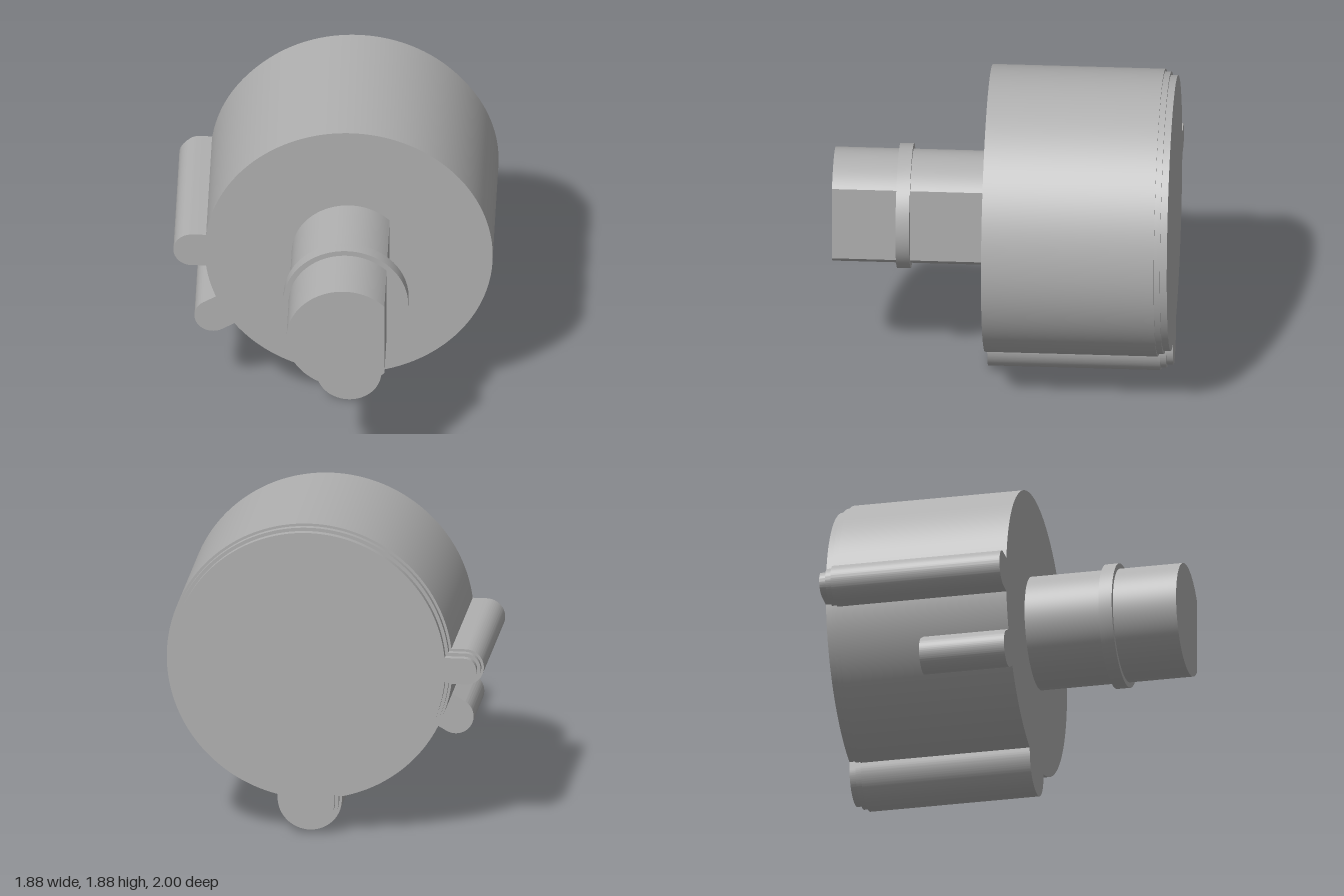
import * as THREE from 'three';
import { toCreasedNormals } from 'three/addons/utils/BufferGeometryUtils.js';

const CX = 0.09, CY = 1.035; // shared axis of housing and shaft
const R = 0.845;             // housing radius

// Lobes around the housing: angle, centre distance from the axis, radius
const SIDE = { a: Math.PI, d: 0.922, r: 0.108 };
const DIAGONAL = { a: Math.PI * 7 / 6, d: 0.922, r: 0.108 };
const BOTTOM = { a: Math.PI * 1.5, d: 0.845, r: 0.19 };

// Round outline with lobes (in angle order), shrunk evenly by inset
function housingShape(lobes, inset) {
  const s = new THREE.Shape();
  const rad = R - inset;
  let from = 0;
  for (const { a, d, r } of lobes) {
    const half = Math.asin((r - inset) / rad);
    s.absarc(0, 0, rad, from, a - half, false);
    s.absarc(d * Math.cos(a), d * Math.sin(a), r - inset, a - Math.PI / 2, a + Math.PI / 2, false);
    from = a + half;
  }
  s.absarc(0, 0, rad, from, Math.PI * 2, false);
  return s;
}

// Short rounded rib reaching from inside the housing wall
function ribShape({ a, d, r }) {
  const s = new THREE.Shape();
  const c = Math.cos(a), n = Math.sin(a), start = R - 0.06;
  s.moveTo(start * c - r * n, start * n + r * c);
  s.lineTo(start * c + r * n, start * n - r * c);
  s.absarc(d * c, d * n, r, a - Math.PI / 2, a + Math.PI / 2, false);
  s.closePath();
  return s;
}

// Circle cut by a vertical flat on the +x side
function shaftShape(r, flat) {
  const half = Math.acos(flat / r);
  const s = new THREE.Shape();
  s.absarc(0, 0, r, half, Math.PI * 2 - half, false);
  s.closePath();
  return s;
}

export function createModel() {
  const model = new THREE.Group();
  model.name = 'shaftedHousing';
  const grey = new THREE.MeshStandardMaterial({ color: 0xb0b0b0 });
  grey.name = 'grey';

  const add = (name, shape, z0, z1) => {
    const geo = new THREE.ExtrudeGeometry(shape, { depth: z1 - z0, bevelEnabled: false, curveSegments: 48 });
    const mesh = new THREE.Mesh(toCreasedNormals(geo, 0.4), grey);
    mesh.name = name;
    mesh.position.set(CX, CY, z0);
    model.add(mesh);
  };

  // Housing with two stepped rims at the back
  const lobes = [SIDE, BOTTOM];
  add('housing', housingShape(lobes, 0), -0.925, 0.09);
  add('rearStep', housingShape(lobes, 0.015), -0.96, -0.925);
  add('rearCover', housingShape(lobes, 0.035), -1, -0.96);

  // Half-length diagonal rib at the front
  add('diagonalRib', ribShape(DIAGONAL), -0.42, 0.09);

  // Flatted shaft and its collar
  add('shaft', shaftShape(0.335, 0.24), 0.09, 1);
  const collar = new THREE.Shape();
  collar.absarc(0, 0, 0.367, 0, Math.PI * 2, false);
  add('collar', collar, 0.54, 0.62);

  return model;
}
